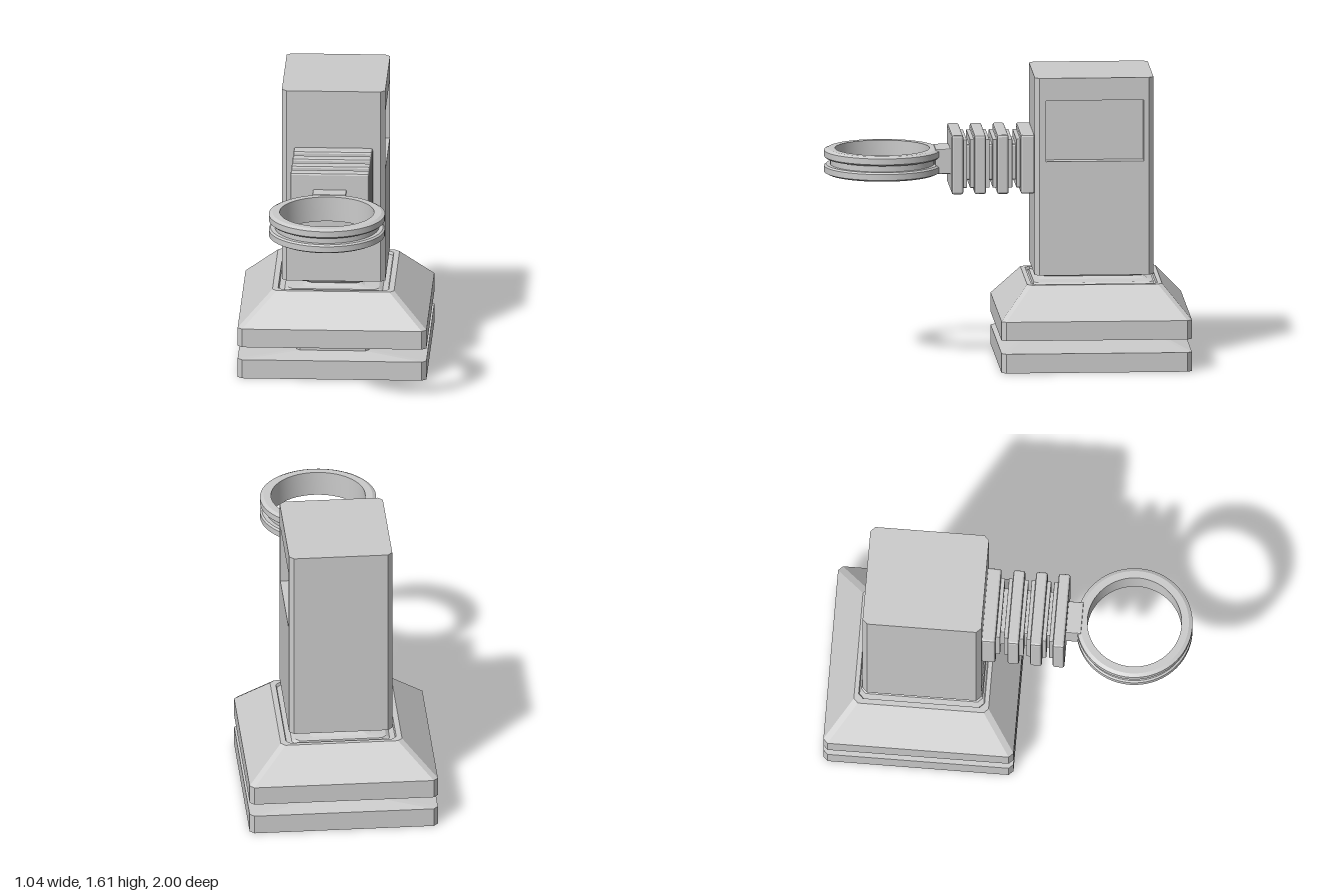
import * as THREE from 'three';
import { toCreasedNormals } from 'three/addons/utils/BufferGeometryUtils.js';
import { RoundedBoxGeometry } from 'three/addons/geometries/RoundedBoxGeometry.js';

const flat = new THREE.MeshStandardMaterial({ color: 0xcccccc, flatShading: true });
const smooth = new THREE.MeshStandardMaterial({ color: 0xcccccc });
const CENTER_Z = -0.4725; // shared axis of base and column

function add(group, name, geometry, material = flat) {
  const mesh = new THREE.Mesh(geometry, material);
  mesh.name = name;
  group.add(mesh);
  return mesh;
}

// Stacked rectangles with cut corners: each level is [halfX, halfZ, y, chamfer]
function loftRects(levels) {
  const pos = [], index = [];
  for (const [a, b, y, c] of levels) {
    const ring = [[a, b - c], [a, c - b], [a - c, -b], [c - a, -b], [-a, c - b], [-a, b - c], [c - a, b], [a - c, b]];
    for (const [x, z] of ring) pos.push(x, y, z);
  }
  const n = levels.length;
  for (let k = 0; k < n - 1; k++) {
    for (let i = 0; i < 8; i++) {
      const p = k * 8 + i, q = k * 8 + (i + 1) % 8;
      index.push(p, q, q + 8, p, q + 8, p + 8);
    }
  }
  const t = (n - 1) * 8;
  for (let i = 1; i < 7; i++) index.push(0, i + 1, i, t, t + i, t + i + 1);
  const g = new THREE.BufferGeometry();
  g.setAttribute('position', new THREE.Float32BufferAttribute(pos, 3));
  g.setIndex(index);
  const out = g.toNonIndexed();
  out.computeVertexNormals();
  return out;
}

// Vertical prism from an outline of [x, z] points
function prism(outline, y0, y1) {
  const shape = new THREE.Shape(outline.map(([x, z]) => new THREE.Vector2(x, -z)));
  return new THREE.ExtrudeGeometry(shape, { depth: y1 - y0, bevelEnabled: false })
    .rotateX(-Math.PI / 2).translate(0, y0, 0);
}

export function createModel() {
  const model = new THREE.Group();
  model.name = 'model';

  // Base: two slabs split by a deep groove, sloped shoulder, narrow neck
  const base = add(model, 'base', loftRects([
    [0.52, 0.525, 0, 0.025],
    [0.52, 0.525, 0.107, 0.025],
    [0.2, 0.41, 0.13, 0.02],
    [0.2, 0.41, 0.157, 0.02],
    [0.52, 0.525, 0.18, 0.025],
    [0.52, 0.525, 0.285, 0.025],
    [0.335, 0.372, 0.46, 0.025],
    [0.305, 0.348, 0.46, 0.025],
    [0.3, 0.343, 0.445, 0.025],
    [0.27, 0.335, 0.445, 0.025],
    [0.25, 0.33, 0.46, 0.025],
    [0.17, 0.3, 0.466, 0.02],
    [0.14, 0.275, 0.478, 0.02],
    [0.17, 0.29, 0.49, 0.02],
    [0.25, 0.315, 0.506, 0.02],
  ]));
  base.position.z = CENTER_Z;

  // Column: solid blocks above and below a side recess
  const X = 0.285, F = -0.145, B = -0.8, C = 0.026, DEPTH = 0.065;
  const rightSide = [[X, F - C], [X, B + C]];
  const rest = [[X - C, B], [C - X, B], [-X, B + C], [-X, F - C], [C - X, F], [X - C, F]];
  const notch = [[X, -0.205], [X - DEPTH, -0.205], [X - DEPTH, -0.745], [X, -0.745]];
  const column = new THREE.Group();
  column.name = 'column';
  add(column, 'columnLower', prism([...rightSide, ...rest], 0.505, 1.14));
  add(column, 'columnRecess', prism([rightSide[0], ...notch, rightSide[1], ...rest], 1.14, 1.48));
  add(column, 'columnUpper', prism([...rightSide, ...rest], 1.48, 1.605));
  model.add(column);

  // Ribbed arm: large plates with smaller plates between them on a core
  const arm = new THREE.Group();
  arm.name = 'arm';
  const ARM_Y = 1.115;
  const plate = (name, w, h, z0, z1, r) => {
    const m = add(arm, name, new RoundedBoxGeometry(w, h, z1 - z0, 1, r));
    m.position.set(0, ARM_Y, (z0 + z1) / 2);
  };
  [[-0.15, -0.07], [-0.005, 0.06], [0.12, 0.185], [0.245, 0.31]].forEach(([z0, z1], i) => {
    plate('largePlate', 0.435, 0.33, z0, z1, 0.012);
    if (i > 0) plate('smallPlateBack', 0.35, 0.27, z0 - 0.022, z0 + 0.01, 0.004);
    if (i < 3) plate('smallPlateFront', 0.35, 0.27, z1 - 0.01, z1 + 0.022, 0.004);
  });
  plate('core', 0.26, 0.2, -0.14, 0.3, 0.01);
  plate('tab', 0.185, 0.14, 0.29, 0.392, 0.006);
  model.add(arm);

  // Ring: two chamfered bands joined by a recessed web
  const profile = [
    [0.26, 1.04], [0.3, 1.04], [0.32, 1.05], [0.32, 1.083], [0.31, 1.092], [0.287, 1.092],
    [0.287, 1.128], [0.31, 1.128], [0.32, 1.137], [0.32, 1.17], [0.3, 1.18], [0.26, 1.18], [0.26, 1.04],
  ].map(([r, y]) => new THREE.Vector2(r, y));
  const ring = add(model, 'ring', toCreasedNormals(new THREE.LatheGeometry(profile, 64), 0.4), smooth);
  ring.position.z = 0.68;

  return model;
}
